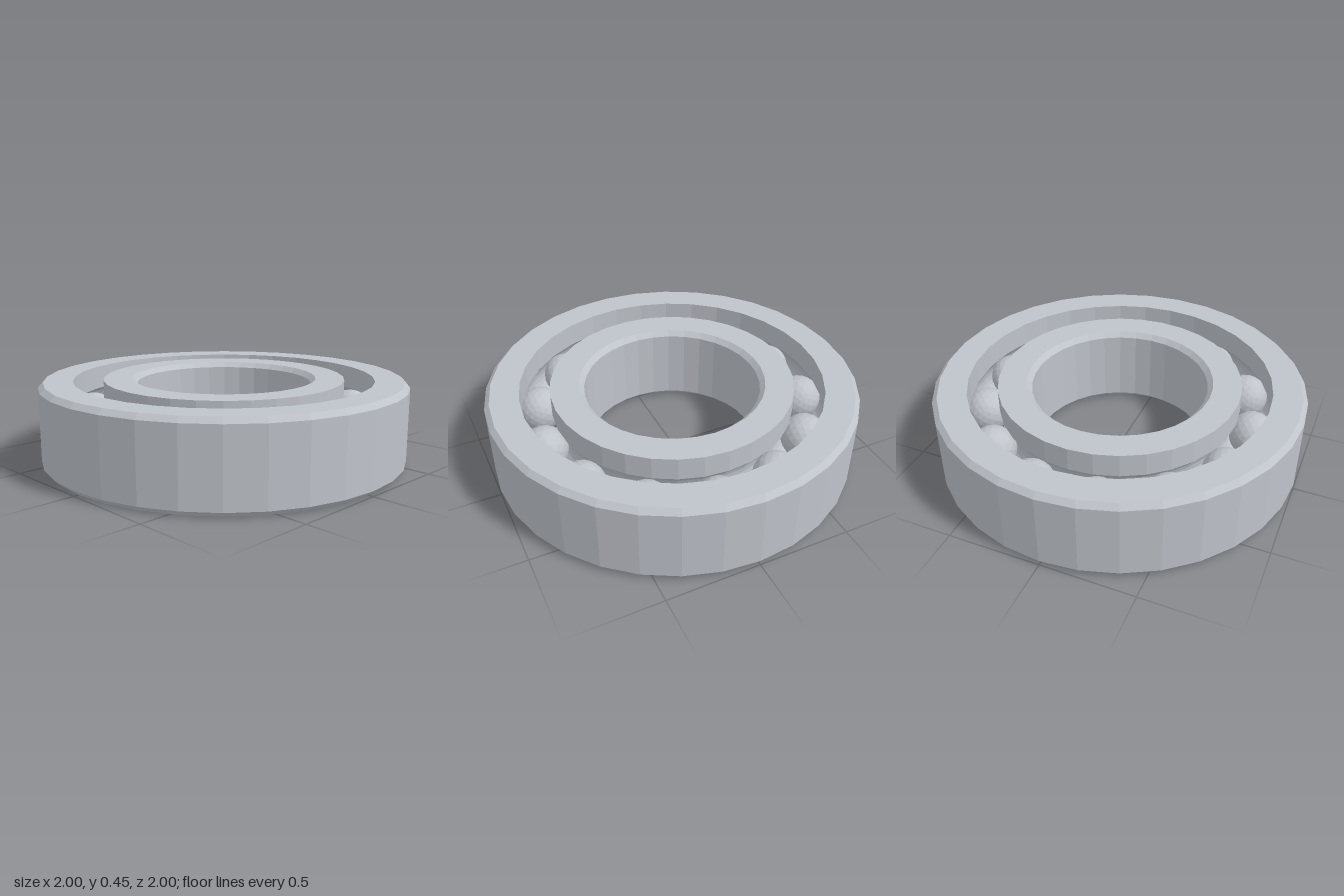
import * as THREE from 'three';

const HEIGHT = 0.45, MID = HEIGHT / 2, CHAMFER = 0.027;
const PITCH = 0.735, BALL = 0.124, GROOVE = 0.127;
const SIDES = 32, BALLS = 13;

// Give every face its own flat normal
function faceted(geometry) {
  const flat = geometry.index ? geometry.toNonIndexed() : geometry;
  flat.computeVertexNormals();
  return flat;
}

// Points of the ball groove cut into a wall at radius r, from start height sign to the other
function groove(r, startSign) {
  const points = [], steps = 8;
  const side = Math.sign(r - PITCH);
  const half = Math.acos(Math.abs(r - PITCH) / GROOVE);
  for (let i = 0; i <= steps; i++) {
    const a = startSign * half * (1 - (2 * i) / steps);
    points.push([PITCH + side * GROOVE * Math.cos(a), MID + GROOVE * Math.sin(a)]);
  }
  return points;
}

function ring(name, profile, material) {
  const points = [...profile, profile[0]].map(([r, y]) => new THREE.Vector2(r, y));
  const mesh = new THREE.Mesh(faceted(new THREE.LatheGeometry(points, SIDES)), material);
  mesh.name = name;
  return mesh;
}

export function createModel() {
  const model = new THREE.Group();
  model.name = 'ballBearing';
  const steel = new THREE.MeshStandardMaterial({ color: 0xbfc3ca });
  steel.name = 'steel';

  // Outer ring: chamfered rim, grooved inner wall
  const outerWall = 0.818;
  model.add(ring('outerRing', [
    [outerWall, 0], [1 - CHAMFER, 0], [1, CHAMFER], [1, HEIGHT - CHAMFER],
    [1 - CHAMFER, HEIGHT], [outerWall, HEIGHT], ...groove(outerWall, 1),
  ], steel));

  // Inner ring: grooved outer wall, chamfered bore
  const innerWall = 0.656, bore = 0.475;
  model.add(ring('innerRing', [
    [bore + CHAMFER, 0], [innerWall, 0], ...groove(innerWall, -1), [innerWall, HEIGHT],
    [bore + CHAMFER, HEIGHT], [bore, HEIGHT - CHAMFER], [bore, CHAMFER],
  ], steel));

  // Balls evenly spaced in the race
  const balls = new THREE.Group();
  balls.name = 'balls';
  const ballGeometry = faceted(new THREE.IcosahedronGeometry(BALL, 3));
  for (let i = 0; i < BALLS; i++) {
    const a = (i / BALLS) * Math.PI * 2;
    const ball = new THREE.Mesh(ballGeometry, steel);
    ball.name = 'ball' + (i + 1);
    ball.position.set(PITCH * Math.cos(a), MID, PITCH * Math.sin(a));
    ball.rotation.y = -a;
    balls.add(ball);
  }
  model.add(balls);
  return model;
}
